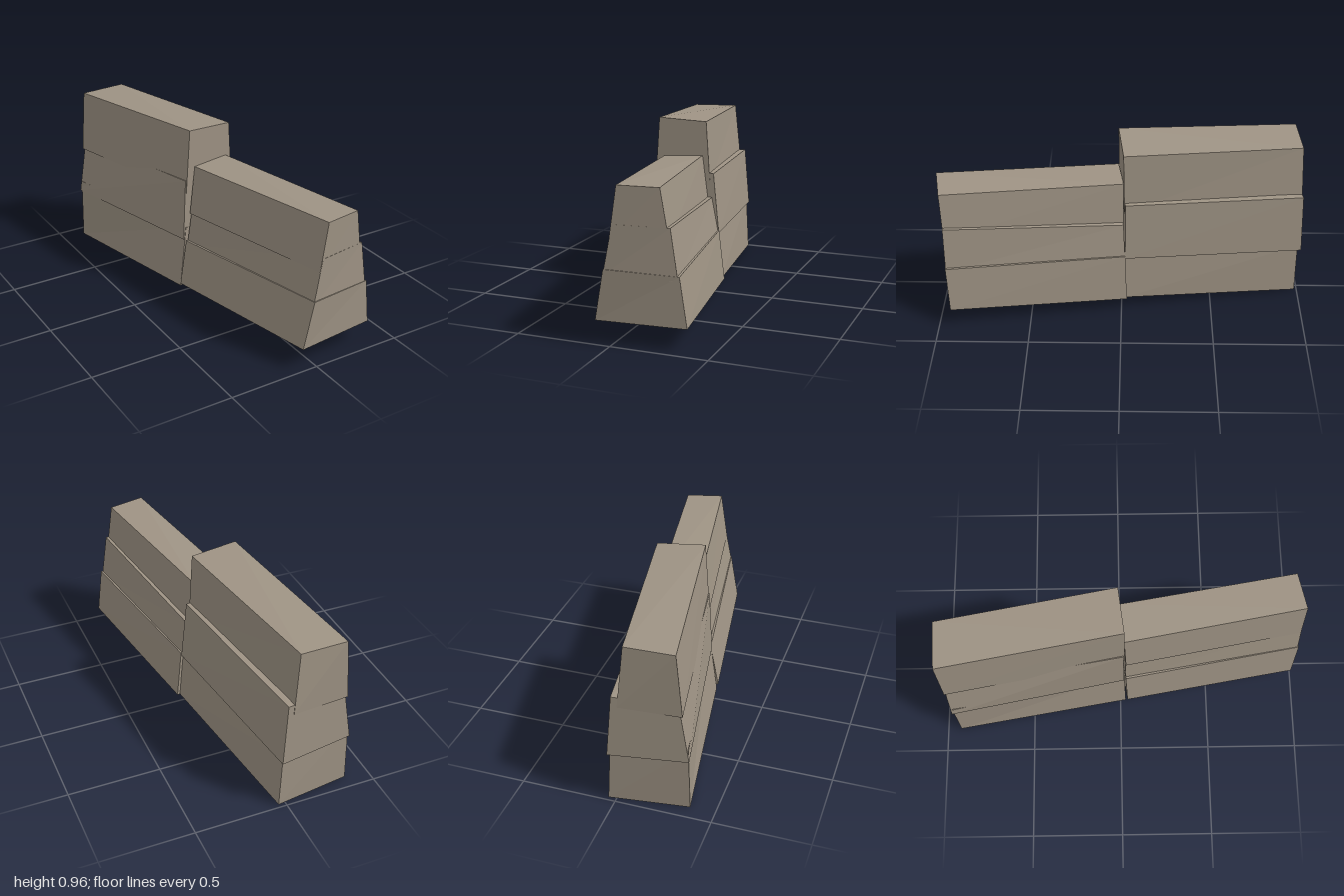
import * as THREE from 'three';

// Tapered stone: corners run front-left, front-right, back-right, back-left (left = -x)
function block(name, bottom, top, material) {
  const corners = [...bottom, ...top];
  const index = [0, 3, 2, 0, 2, 1, 4, 5, 6, 4, 6, 7];
  for (let i = 0; i < 4; i++) {
    const j = (i + 1) % 4;
    index.push(i, j, j + 4, i, j + 4, i + 4);
  }
  const indexed = new THREE.BufferGeometry();
  indexed.setAttribute('position', new THREE.Float32BufferAttribute(corners.flat(), 3));
  indexed.setIndex(index);
  const geometry = indexed.toNonIndexed();
  geometry.computeVertexNormals();
  const mesh = new THREE.Mesh(geometry, material);
  mesh.name = name;
  return mesh;
}

export function createModel() {
  const stone = new THREE.MeshStandardMaterial({ color: 0x9e9384, flatShading: true });
  stone.name = 'weathered stone';

  // Each stack is listed from the ground up; neighbouring stones overlap slightly
  const stacks = {
    frontStack: [
      ['frontLowerStone',
        [[-0.08, 0.12, 0.99], [0.37, 0.11, 0.93], [0.215, 0.07, -0.03], [-0.23, 0.075, 0.04]],
        [[-0.03, 0.38, 1.0], [0.335, 0.365, 0.94], [0.185, 0.345, -0.02], [-0.185, 0.325, 0.03]]],
      ['frontMiddleStone',
        [[-0.034, 0.35, 0.995], [0.328, 0.34, 0.94], [0.184, 0.31, -0.02], [-0.178, 0.30, 0.03]],
        [[0.015, 0.60, 0.99], [0.29, 0.595, 0.94], [0.145, 0.53, -0.01], [-0.137, 0.55, 0.025]]],
      ['frontUpperStone',
        [[0.0, 0.53, 0.99], [0.285, 0.525, 0.94], [0.125, 0.50, -0.01], [-0.16, 0.485, 0.03]],
        [[0.04, 0.79, 0.99], [0.243, 0.785, 0.95], [0.09, 0.76, -0.01], [-0.122, 0.75, 0.02]]],
    ],
    backStack: [
      ['backLowerStone',
        [[-0.225, 0.055, 0.03], [0.20, 0.07, -0.025], [0.04, 0.005, -0.985], [-0.37, 0.0, -0.925]],
        [[-0.18, 0.40, 0.02], [0.17, 0.36, -0.02], [0.025, 0.31, -0.98], [-0.36, 0.35, -0.93]]],
      ['backMiddleStone',
        [[-0.195, 0.33, 0.02], [0.183, 0.33, -0.02], [0.035, 0.285, -1.0], [-0.367, 0.29, -0.94]],
        [[-0.177, 0.675, 0.015], [0.15, 0.66, -0.02], [0.01, 0.625, -0.985], [-0.315, 0.61, -0.94]]],
      ['backUpperStone',
        [[-0.175, 0.605, 0.02], [0.132, 0.60, -0.015], [-0.02, 0.57, -0.985], [-0.335, 0.555, -0.945]],
        [[-0.15, 0.96, 0.02], [0.11, 0.945, -0.01], [-0.05, 0.905, -0.965], [-0.305, 0.90, -0.952]]],
    ],
  };

  const model = new THREE.Group();
  model.name = 'stoneWall';
  for (const [stackName, stones] of Object.entries(stacks)) {
    const stack = new THREE.Group();
    stack.name = stackName;
    for (const [name, bottom, top] of stones) stack.add(block(name, bottom, top, stone));
    model.add(stack);
  }
  return model;
}
